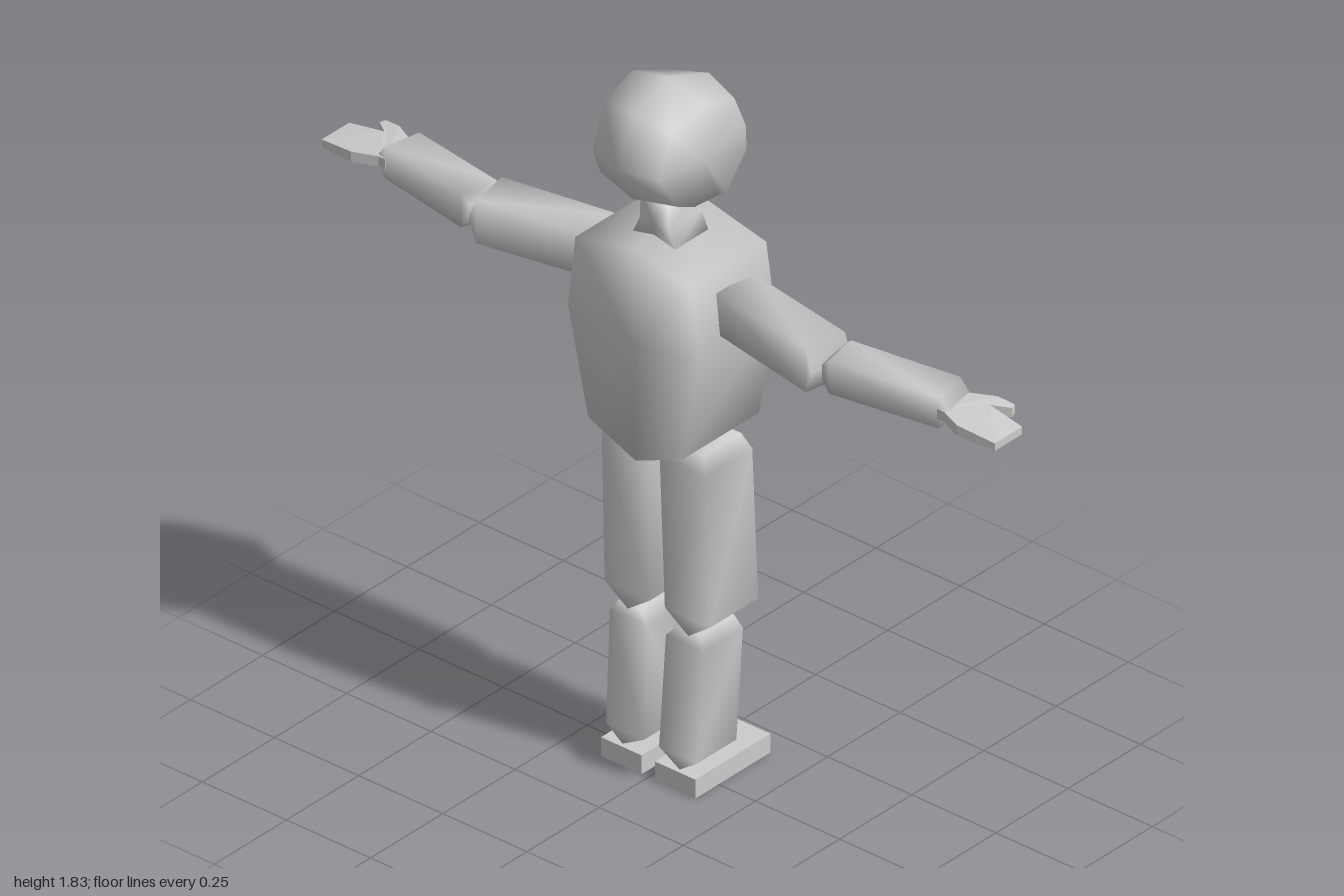
import * as THREE from 'three';
import { mergeVertices } from 'three/addons/utils/BufferGeometryUtils.js';

const smooth = new THREE.MeshStandardMaterial({ color: 0xcccccc });
const faceted = new THREE.MeshStandardMaterial({ color: 0xcccccc, flatShading: true });

// Joins equal-length rings of points into a closed skin; end caps fan out from a centre point.
function loft(rings, caps = []) {
  const n = rings[0].length;
  const pts = rings.flat();
  const index = [];
  for (let r = 0; r < rings.length - 1; r++) {
    for (let i = 0; i < n; i++) {
      const a = r * n + i, b = r * n + (i + 1) % n;
      index.push(a, b, b + n, a, b + n, a + n);
    }
  }
  [0, rings.length - 1].forEach((r, k) => {
    const mean = [0, 1, 2].map(c => rings[r].reduce((s, p) => s + p[c], 0) / n);
    const centre = pts.push(caps[k] || mean) - 1;
    for (let i = 0; i < n; i++) {
      const a = r * n + i, b = r * n + (i + 1) % n;
      index.push(centre, ...(k ? [a, b] : [b, a]));
    }
  });
  // turn the faces outward
  const v = pts.map(p => new THREE.Vector3(...p));
  let volume = 0;
  for (let i = 0; i < index.length; i += 3) {
    volume += v[index[i]].clone().cross(v[index[i + 1]]).dot(v[index[i + 2]]);
  }
  if (volume < 0) index.reverse();
  let g = new THREE.BufferGeometry();
  g.setAttribute('position', new THREE.Float32BufferAttribute(pts.flat(), 3));
  g.setIndex(index);
  g = mergeVertices(g, 1e-4);
  g.computeVertexNormals();
  return g;
}

// Front outline (right half is mirrored) drawn through from one z to another, leaning by lean per unit of height.
function slab(half, z0, z1, lean = 0) {
  const mirrored = half.filter(p => p[0] > 0).reverse().map(([x, y]) => [-x, y]);
  const outline = [...half, ...mirrored];
  return loft([z0, z1].map(z => outline.map(([x, y]) => [x, y, z + (y - half[0][1]) * lean])));
}

// Four-cornered limb; each section is [position along limb, across min, across max, z min, z max].
function limb(sections, alongX) {
  return loft(sections.map(([t, a0, a1, z0, z1]) =>
    [[a0, z0], [a1, z0], [a1, z1], [a0, z1]].map(([a, z]) => alongX ? [t, a, z] : [a, t, z])));
}

function mirrorX(geometry) {
  const g = geometry.clone().scale(-1, 1, 1);
  if (!g.index) g.setIndex([...Array(g.attributes.position.count).keys()]);
  g.setIndex(Array.from(g.index.array).reverse());
  g.computeVertexNormals();
  return g;
}

export function createModel() {
  const model = new THREE.Group();
  model.name = 'figure';
  const add = (name, geometry, material = smooth) => {
    const mesh = new THREE.Mesh(geometry, material);
    mesh.name = name;
    model.add(mesh);
  };
  const addPair = (name, geometry, material) => {
    add('left' + name, geometry, material);
    add('right' + name, mirrorX(geometry), material);
  };

  // Torso and neck
  add('torso', slab([[0, 1.43], [0.17, 1.39], [0.195, 1.2], [0.14, 0.92], [0, 0.86]], -0.13, 0.135, 0.02));
  add('neck', slab([[0, 1.53], [0.04, 1.52], [0.042, 1.46], [0.065, 1.41], [0, 1.4]], -0.055, 0.06));

  // Head: centre profile as [z, y, half width of the cheek beside it]
  const profile = [
    [0.01, 1.825, 0.11], [0.14, 1.79, 0.1], [0.188, 1.66, 0.1], [0.135, 1.56, 0.115], [0.05, 1.515, 0.105],
    [-0.07, 1.49, 0.09], [-0.14, 1.455, 0.065], [-0.188, 1.58, 0.09], [-0.17, 1.67, 0.1], [-0.13, 1.77, 0.095],
  ];
  const cheek = side => profile.map(([z, y, w]) => [side * w, 1.65 + (y - 1.65) * 0.84, z * 0.83]);
  add('head', loft([cheek(-1), profile.map(([z, y]) => [0, y, z]), cheek(1)],
    [[-0.13, 1.67, 0.04], [0.13, 1.67, 0.04]]));

  // Legs: chamfered at the top, tapering to a ridge at the bottom
  addPair('Thigh', limb([
    [0.89, 0.035, 0.135, -0.085, 0.045],
    [0.85, 0.017, 0.155, -0.1, 0.06],
    [0.445, 0.022, 0.157, -0.118, 0.048],
    [0.395, 0.09, 0.09, -0.12, 0.046],
  ]));
  addPair('Shin', limb([
    [0.405, 0.055, 0.12, -0.078, 0.042],
    [0.375, 0.027, 0.14, -0.085, 0.05],
    [0.085, 0.022, 0.135, -0.068, 0.068],
    [0.05, 0.085, 0.085, -0.066, 0.07],
  ]));
  addPair('Foot', new THREE.BoxGeometry(0.12, 0.05, 0.26).translate(0.08, 0.025, -0.05), faceted);

  // Arms: bent slightly at the elbow
  addPair('UpperArm', limb([
    [0, 1.235, 1.34, -0.06, 0.06],
    [0.325, 1.23, 1.345, -0.057, 0.057],
    [0.345, 1.29, 1.29, -0.057, 0.057],
  ], true).rotateY(-0.18).translate(0.18, 0, -0.01));
  addPair('Forearm', limb([
    [0, 1.27, 1.31, -0.045, 0.045],
    [0.022, 1.242, 1.33, -0.05, 0.05],
    [0.305, 1.235, 1.318, -0.05, 0.05],
    [0.33, 1.285, 1.285, -0.048, 0.048],
  ], true).rotateY(0.2).translate(0.515, 0, 0.045));

  // Hands: thin mitten with a thumb, thinner and lower at the fingertips
  const outline = [[0.82, 0.035], [0.84, 0.035], [0.9, 0.06], [1, 0.045], [1, -0.05], [0.9, -0.055],
    [0.94, -0.085], [0.935, -0.1], [0.89, -0.095], [0.83, -0.065]];
  const hand = new THREE.ExtrudeGeometry(
    new THREE.Shape(outline.map(([x, z]) => new THREE.Vector2(x, -z))), { depth: 1, bevelEnabled: false });
  hand.rotateX(-Math.PI / 2);
  const p = hand.attributes.position;
  for (let i = 0; i < p.count; i++) {
    const t = Math.max(0, (p.getX(i) - 0.9) / 0.1);
    p.setY(i, 1.26 - 0.008 * t + p.getY(i) * (0.027 - 0.007 * t));
  }
  hand.computeVertexNormals();
  addPair('Hand', hand, faceted);

  return model;
}
